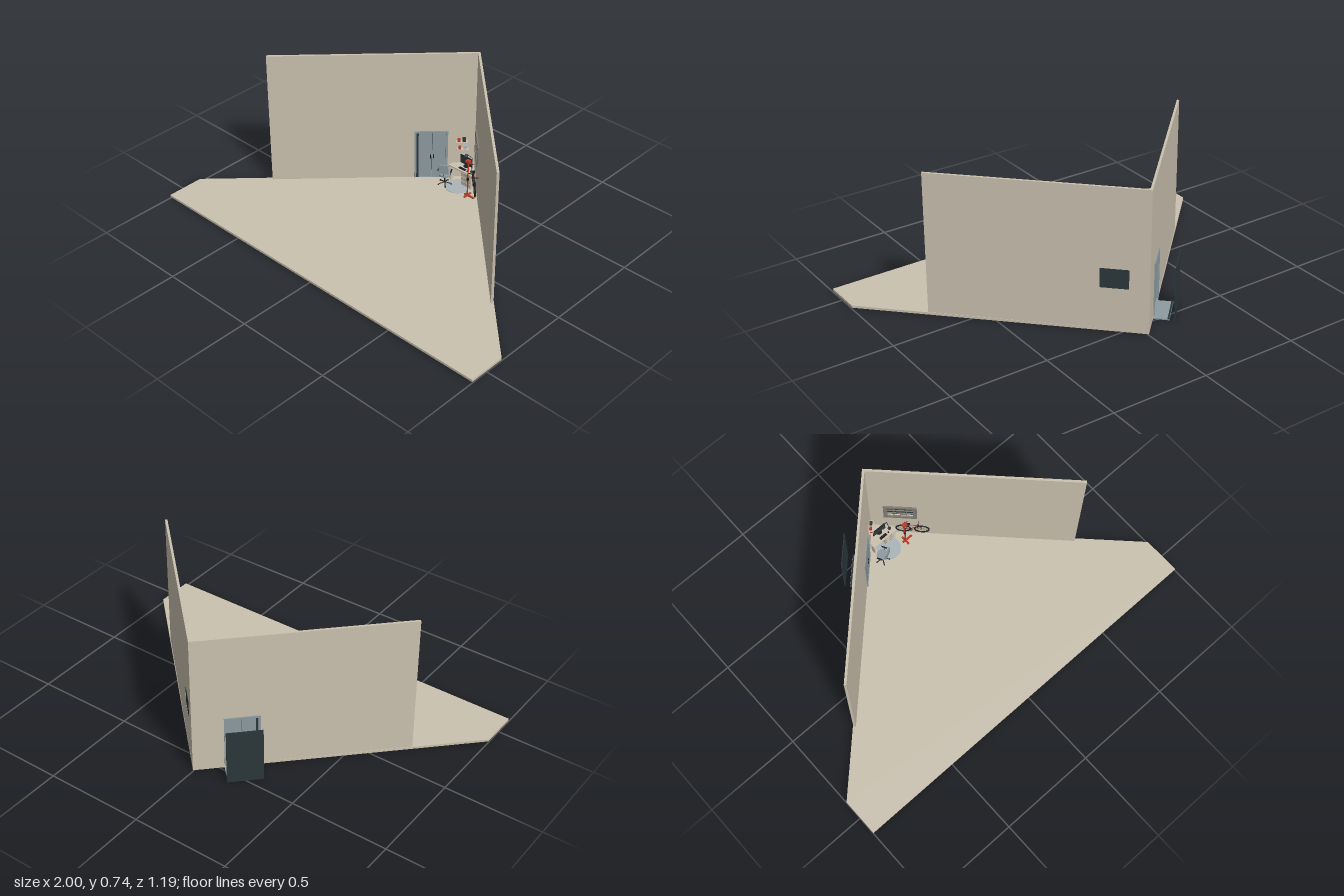
import * as THREE from 'three';

const mat = (name, color) => Object.assign(new THREE.MeshStandardMaterial({ color }), { name });
const M = {
  plaster: mat('warm plaster', 0xcbc2b0),
  steel: mat('blue grey', 0x8d9ba0),
  pale: mat('pale blue grey', 0xabb6ba),
  dark: mat('dark slate', 0x2c383b),
  frame: mat('stone grey', 0x807d73),
  red: mat('red', 0xb83a2a),
  black: mat('black', 0x1b1d1e),
};
const APEX = -0.593, T = 0.012, FLOOR = 0.018;

function add(parent, name, geo, material, x = 0, y = 0, z = 0) {
  const m = new THREE.Mesh(geo, material);
  m.name = name;
  m.position.set(x, y, z);
  parent.add(m);
  return m;
}
const box = (p, n, m, w, h, d, x, y, z) => add(p, n, new THREE.BoxGeometry(w, h, d), m, x, y, z);
const cyl = (p, n, m, r, h, x, y, z, seg = 12) => add(p, n, new THREE.CylinderGeometry(r, r, h, seg), m, x, y, z);
// Round bar between two points
function bar(p, n, m, r, a, b) {
  const A = new THREE.Vector3(...a), B = new THREE.Vector3(...b);
  const mesh = cyl(p, n, m, r, A.distanceTo(B), 0, 0, 0, 8);
  mesh.position.copy(A).lerp(B, 0.5);
  mesh.quaternion.setFromUnitVectors(new THREE.Vector3(0, 1, 0), B.sub(A).normalize());
}
function group(parent, name, x = 0, y = 0, z = 0, ry = 0) {
  const g = new THREE.Group();
  g.name = name;
  g.position.set(x, y, z);
  g.rotation.y = ry;
  parent.add(g);
  return g;
}
const poly = pts => pts.map(([x, y]) => new THREE.Vector2(x, y));
const rect = (x0, y0, x1, y1) => poly([[x0, y0], [x1, y0], [x1, y1], [x0, y1]]);
// Flat slab from a plan outline of [x, z] points, y0 to y1
function slab(parent, name, material, pts, y0, y1) {
  const geo = new THREE.ExtrudeGeometry(new THREE.Shape(poly(pts.map(([x, z]) => [x, -z]))), { depth: y1 - y0, bevelEnabled: false });
  geo.rotateX(-Math.PI / 2);
  return add(parent, name, geo, material, 0, y0, 0);
}
// Upright plate with one rectangular opening, local z from 0 to depth
function plate(parent, name, material, outer, hole, depth, z = 0) {
  const s = new THREE.Shape(rect(...outer));
  s.holes.push(new THREE.Path(rect(...hole)));
  return add(parent, name, new THREE.ExtrudeGeometry(s, { depth, bevelEnabled: false }), material, 0, 0, z);
}

// Left wall with double door and the small recess behind it
function leftSide(root) {
  const g = group(root, 'leftSide', 0, 0, APEX, Math.PI / 4);
  plate(g, 'leftWall', M.plaster, [-1.04, 0.006, 0, 0.738], [-0.312, FLOOR, -0.155, 0.286], T);
  plate(g, 'doorFrame', M.steel, [-0.318, FLOOR, -0.149, 0.294], [-0.308, FLOOR + 0.001, -0.159, 0.284], T + 0.01, -0.005);
  box(g, 'doorGap', M.dark, 0.012, 0.268, 0.004, -0.303, 0.152, T + 0.001);
  [-0.264, -0.194].forEach((x, i) => {
    box(g, 'doorLeaf', M.steel, 0.068, 0.264, 0.008, x, 0.151, 0.01);
    cyl(g, 'doorHandle', M.black, 0.002, 0.024, i ? -0.222 : -0.236, 0.145, 0.018, 8);
  });
  box(g, 'recessFloor', M.steel, 0.167, 0.006, 0.076, -0.232, 0.003, -0.038);
  box(g, 'recessSill', M.dark, 0.167, 0.006, 0.008, -0.232, 0.007, -0.071);
  box(g, 'outerPanel', M.dark, 0.172, 0.288, 0.004, -0.231, 0.144, -0.1);
  // Shelves with small objects
  [[0.19, 0.075], [0.235, 0.08]].forEach(([y, u], i) => {
    box(g, 'wallShelf', M.plaster, 0.06, 0.004, 0.022, -u, y, T + 0.011);
    box(g, 'shelfBox', M.red, 0.014, 0.016, 0.012, -u - 0.015, y + 0.01, T + 0.011);
    box(g, 'shelfBooks', i ? M.dark : M.pale, 0.016, 0.02, 0.012, -u + 0.012, y + 0.012, T + 0.011);
  });
}

// Right wall with a barred window
function rightSide(root) {
  const g = group(root, 'rightSide', 0, 0, APEX, -Math.PI / 4);
  const hole = [0.096, 0.231, 0.231, 0.331];
  plate(g, 'rightWall', M.plaster, [0, 0.006, 1.04, 0.738], hole, T);
  plate(g, 'windowFrame', M.frame, [0.081, 0.215, 0.246, 0.342], [0.1, 0.233, 0.227, 0.326], 0.008, T);
  box(g, 'windowGlass', M.dark, 0.135, 0.1, 0.005, 0.1635, 0.281, 0.003);
  for (let i = 1; i < 4; i++) box(g, 'windowMullion', M.frame, 0.004, 0.096, 0.006, 0.1 + i * 0.0318, 0.28, T + 0.002);
  for (let i = 1; i < 3; i++) box(g, 'windowBar', M.frame, 0.13, 0.004, 0.006, 0.1635, 0.233 + i * 0.031, T + 0.002);
}

// Corner desk with drawers, screen, keyboard
function desk(root) {
  const g = group(root, 'desk');
  slab(g, 'deskTop', M.plaster, [[0, -0.57], [0.075, -0.493], [0.075, -0.465], [-0.075, -0.465], [-0.075, -0.493]], 0.1, 0.106);
  box(g, 'drawerUnit', M.plaster, 0.066, 0.082, 0.035, 0.036, FLOOR + 0.041, -0.488);
  for (let i = 0; i < 3; i++) {
    box(g, 'drawerFront', M.plaster, 0.06, 0.022, 0.003, 0.036, 0.034 + i * 0.026, -0.469);
    box(g, 'drawerHandle', M.frame, 0.018, 0.002, 0.003, 0.036, 0.039 + i * 0.026, -0.467);
  }
  box(g, 'deskLeg', M.plaster, 0.006, 0.082, 0.025, -0.068, FLOOR + 0.041, -0.48);
  cyl(g, 'screenFoot', M.black, 0.016, 0.003, 0, 0.107, -0.515, 16);
  box(g, 'screenPost', M.black, 0.006, 0.03, 0.004, 0, 0.12, -0.518);
  box(g, 'screen', M.black, 0.076, 0.046, 0.005, 0, 0.141, -0.512);
  box(g, 'screenFace', M.dark, 0.07, 0.04, 0.001, 0, 0.141, -0.509);
  box(g, 'keyboard', M.black, 0.042, 0.003, 0.014, 0, 0.1075, -0.482);
  box(g, 'mouse', M.black, 0.006, 0.004, 0.009, 0.034, 0.108, -0.482);
  // Desk lamp
  cyl(g, 'lampBase', M.dark, 0.009, 0.003, 0.052, 0.1075, -0.495);
  bar(g, 'lampArm', M.dark, 0.0015, [0.052, 0.108, -0.495], [0.045, 0.18, -0.505]);
  bar(g, 'lampArm', M.dark, 0.0015, [0.045, 0.18, -0.505], [0.015, 0.198, -0.495]);
  add(g, 'lampShade', new THREE.ConeGeometry(0.011, 0.016, 16), M.dark, 0.013, 0.193, -0.493);
}

// Swivel chair on a five-arm foot
function chair(root) {
  const g = group(root, 'chair', -0.062, FLOOR, -0.42, 0.5);
  for (let i = 0; i < 5; i++) {
    const a = i * Math.PI * 0.4, x = Math.cos(a) * 0.034, z = Math.sin(a) * 0.034;
    bar(g, 'chairFoot', M.black, 0.0025, [0, 0.012, 0], [x, 0.007, z]);
    add(g, 'castor', new THREE.SphereGeometry(0.004, 10, 8), M.black, x, 0.004, z);
  }
  cyl(g, 'chairPost', M.black, 0.003, 0.045, 0, 0.033, 0);
  const seat = cyl(g, 'chairSeat', M.steel, 0.03, 0.009, 0, 0.058, 0, 20);
  seat.scale.z = 0.92;
  bar(g, 'backStem', M.black, 0.002, [0, 0.055, 0.022], [0, 0.09, 0.032]);
  box(g, 'chairBack', M.steel, 0.05, 0.05, 0.007, 0, 0.106, 0.03);
  for (const s of [-1, 1]) {
    bar(g, 'armPost', M.black, 0.0018, [s * 0.028, 0.056, 0], [s * 0.033, 0.083, 0]);
    box(g, 'armRest', M.black, 0.006, 0.004, 0.03, s * 0.033, 0.084, 0);
  }
}

// Bicycle held on a repair stand, parallel to the right wall
function bicycle(root) {
  const g = group(root, 'bicycle', 0.136, 0.112, -0.415, -Math.PI / 4);
  const rear = [-0.047, 0, 0], front = [0.047, 0, 0], crank = [-0.008, -0.004, 0];
  const saddle = [-0.02, 0.043, 0], head = [0.032, 0.042, 0];
  for (const [x] of [rear, front]) {
    add(g, 'tyre', new THREE.TorusGeometry(0.036, 0.0035, 8, 32), M.black, x, 0, 0);
    for (let i = 0; i < 6; i++) {
      const a = i * Math.PI / 6, c = Math.cos(a) * 0.035, s = Math.sin(a) * 0.035;
      bar(g, 'spoke', M.frame, 0.0005, [x - c, -s, 0], [x + c, s, 0]);
    }
  }
  [[rear, crank], [rear, saddle], [crank, saddle], [crank, head], [saddle, head], [head, front]]
    .forEach(([a, b]) => bar(g, 'frameTube', M.red, 0.0022, a, b));
  bar(g, 'seatPost', M.black, 0.0015, saddle, [-0.023, 0.056, 0]);
  box(g, 'saddle', M.black, 0.022, 0.004, 0.009, -0.023, 0.057, 0);
  bar(g, 'stem', M.black, 0.0018, head, [0.029, 0.056, 0]);
  bar(g, 'handlebar', M.black, 0.0018, [0.029, 0.056, -0.02], [0.029, 0.056, 0.02]);
  add(g, 'chainring', new THREE.TorusGeometry(0.008, 0.0015, 6, 20), M.black, crank[0], crank[1], 0.004);
}

function repairStand(root) {
  const g = group(root, 'repairStand', 0.09, FLOOR, -0.42);
  box(g, 'standFoot', M.red, 0.06, 0.006, 0.01, 0.012, 0.003, 0);
  box(g, 'standFoot', M.red, 0.01, 0.006, 0.05, 0, 0.003, 0);
  cyl(g, 'standPole', M.red, 0.0035, 0.2, 0, 0.1, 0);
  cyl(g, 'standCollar', M.black, 0.006, 0.014, 0, 0.1, 0);
  bar(g, 'standArm', M.red, 0.003, [0, 0.195, 0], [0.026, 0.195, -0.01]);
  box(g, 'standTray', M.red, 0.024, 0.012, 0.02, 0, 0.205, 0);
  bar(g, 'clampArm', M.black, 0.0025, [0, 0.135, 0], [0.032, 0.138, -0.008]);
}

export function createModel() {
  const root = new THREE.Group();
  root.name = 'cornerRoom';
  slab(root, 'floor', M.plaster, [[0, APEX], [1, 0.402], [1, 0.597], [-1, 0.597], [-1, 0.402]], 0.006, FLOOR);
  cyl(root, 'rug', M.pale, 0.062, 0.002, 0, FLOOR + 0.001, -0.445, 32);
  [leftSide, rightSide, desk, chair, bicycle, repairStand].forEach(build => build(root));
  return root;
}
